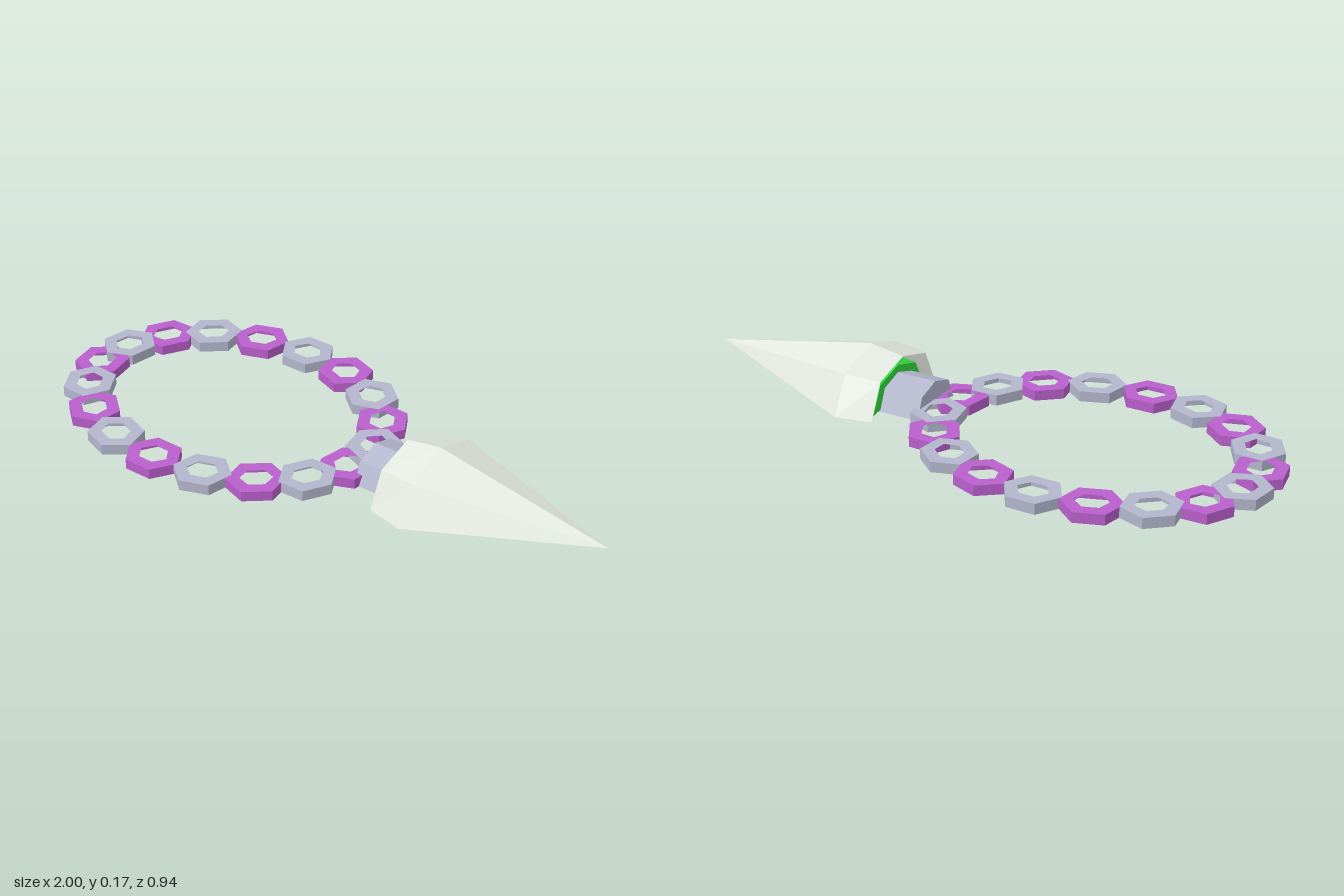
import * as THREE from 'three';
import { mergeGeometries } from 'three/addons/utils/BufferGeometryUtils.js';

const material = (name, color) => {
  const m = new THREE.MeshStandardMaterial({ color, side: THREE.DoubleSide });
  m.name = name;
  return m;
};

// Hexagon slightly flattened across its flat sides
function hexagon(Outline, radius, halfHeight) {
  const points = [];
  for (let i = 0; i < 6; i++) {
    const a = (i * Math.PI) / 3;
    points.push(new THREE.Vector2(radius * Math.cos(a), (halfHeight * Math.sin(a)) / Math.sin(Math.PI / 3)));
  }
  return new Outline(points);
}

// Pierced top plate with an outer wall, open underneath
function linkGeometry(height) {
  const radius = 0.096, halfHeight = 0.077;
  const shape = hexagon(THREE.Shape, radius, halfHeight);
  shape.holes.push(hexagon(THREE.Path, 0.052, 0.038));
  const plate = new THREE.ShapeGeometry(shape).rotateX(-Math.PI / 2).translate(0, height, 0).toNonIndexed();
  const wall = new THREE.CylinderGeometry(radius, radius, height, 6, 1, true, Math.PI / 2)
    .scale(1, 1, halfHeight / (radius * Math.sin(Math.PI / 3)))
    .translate(0, height / 2, 0)
    .toNonIndexed();
  wall.computeVertexNormals();
  return mergeGeometries([plate, wall]);
}

// Arched cross-section in the z-y plane; ridge is the raised middle of the underside
const arch = (x, w, shoulderZ, shoulderY, top, ridge) => [
  [w, 0], [shoulderZ, shoulderY], [0, top], [-shoulderZ, shoulderY], [-w, 0], [0, ridge],
].map(([z, y]) => new THREE.Vector3(x, y, z));

const point = (x, y) => Array.from({ length: 6 }, () => new THREE.Vector3(x, y, 0));

// Joins sections along x with flat faces; underside and end caps are optional
function loft(sections, { underside = false, rearCap = false, frontCap = false } = {}) {
  const corners = [];
  const tri = (a, b, c) => {
    const n = b.clone().sub(a).cross(c.clone().sub(a));
    if (n.length() > 1e-9) corners.push(a, b, c);
  };
  for (let s = 0; s < sections.length - 1; s++) {
    const p = sections[s], q = sections[s + 1];
    for (let i = 0; i < (underside ? 6 : 4); i++) {
      const j = (i + 1) % 6;
      tri(p[i], q[i], q[j]);
      tri(p[i], q[j], p[j]);
    }
  }
  const first = sections[0], last = sections[sections.length - 1];
  for (let i = 0; i < 4; i++) {
    if (rearCap) tri(first[5], first[i], first[i + 1]);
    if (frontCap) tri(last[5], last[i + 1], last[i]);
  }
  const geometry = new THREE.BufferGeometry().setFromPoints(corners);
  geometry.computeVertexNormals();
  return geometry;
}

export function createModel() {
  const model = new THREE.Group();
  const steel = material('steel', 0xb3b6cc);
  const purple = material('purple', 0xb95fcb);
  const pale = material('pale metal', 0xe4eae1);
  const green = material('green', 0x34d840);

  const add = (name, geometry, mat, parent = model) => {
    const mesh = new THREE.Mesh(geometry, mat);
    mesh.name = name;
    parent.add(mesh);
    return mesh;
  };

  // Oval chain of alternating links
  const chain = new THREE.Group();
  chain.name = 'chain';
  model.add(chain);
  const steelLink = linkGeometry(0.035), purpleLink = linkGeometry(0.034);
  for (let i = 0; i < 18; i++) {
    const a = (i * Math.PI) / 9;
    const isSteel = i % 2 === 0;
    const link = add(isSteel ? 'steelLink' : 'purpleLink', isSteel ? steelLink : purpleLink,
      isSteel ? steel : purple, chain);
    link.position.set(-0.4 + 0.525 * Math.sin(a), 0, -0.392 * Math.cos(a));
    link.rotation.y = -a;
  }

  // Arched collar between the chain and the spearhead
  add('collar', loft([
    arch(0.17, 0.11, 0.08, 0.07, 0.096, 0.022),
    arch(0.32, 0.11, 0.08, 0.07, 0.096, 0.022),
  ], { underside: true, rearCap: true, frontCap: true }), steel);

  // Hollow spearhead, open underneath and at the rear
  add('spearheadShell', loft([
    arch(0.29, 0.19, 0.135, 0.117, 0.155, 0),
    arch(0.412, 0.217, 0.152, 0.125, 0.175, 0),
    point(1, 0.063),
  ]), pale);

  // Smaller hollow core inside the shell, closed at the rear
  add('spearheadCore', loft([
    arch(0.31, 0.15, 0.105, 0.09, 0.12, 0.02),
    arch(0.41, 0.165, 0.117, 0.097, 0.135, 0.02),
    point(0.79, 0.046),
  ], { rearCap: true }), green);

  return model;
}
